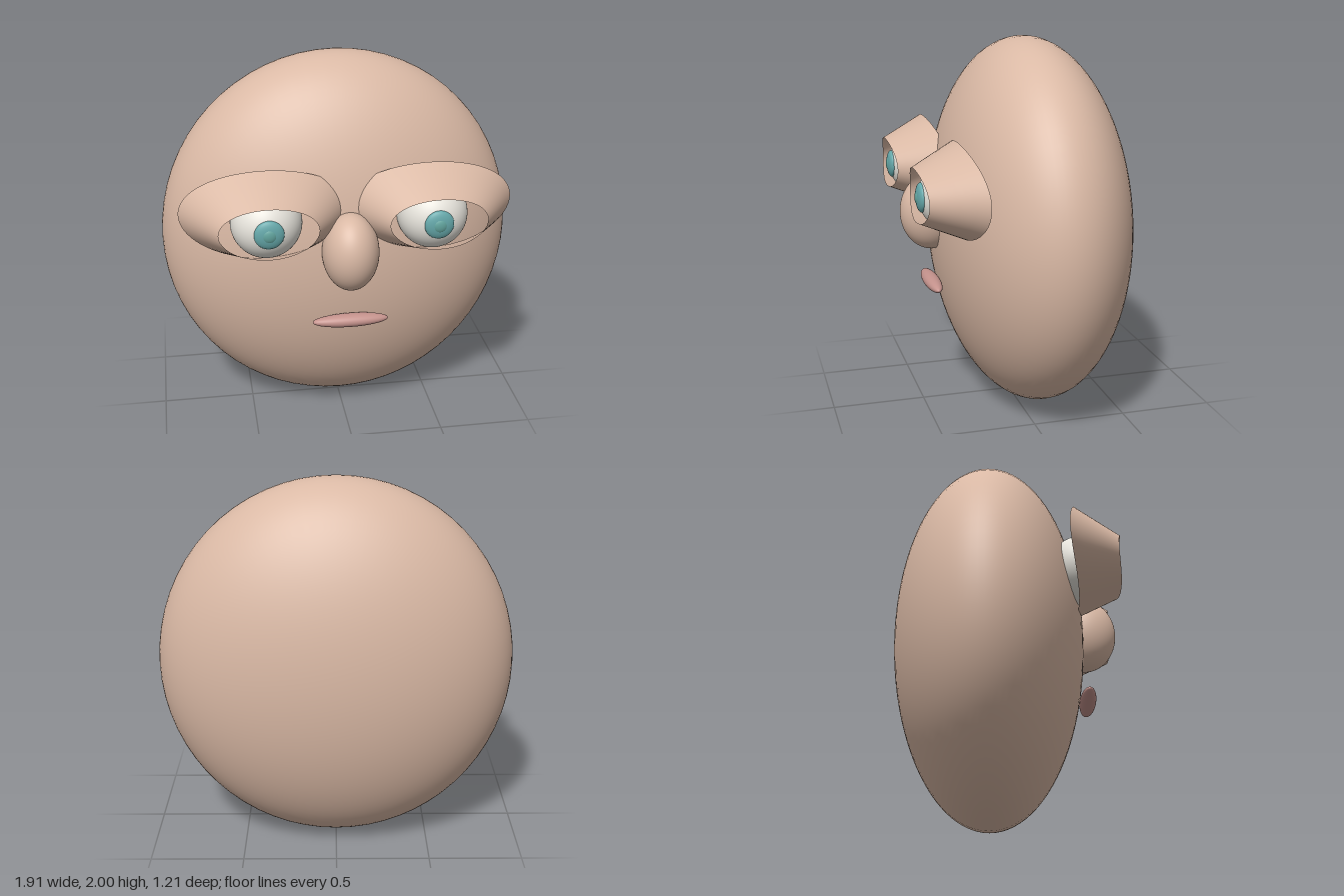
import * as THREE from 'three';

const mat = (name, color, side = THREE.FrontSide) => {
  const m = new THREE.MeshStandardMaterial({ color, side });
  m.name = name;
  return m;
};

// Smooth ellipsoid with its pole facing forward
function ellipsoid(name, material, pos, radii) {
  const g = new THREE.SphereGeometry(1, 64, 48).rotateX(Math.PI / 2);
  g.scale(...radii);
  const mesh = new THREE.Mesh(g, material);
  mesh.name = name;
  mesh.position.set(...pos);
  return mesh;
}

// Open flared band between two bowed ellipses, back rim to front rim
function eyelid(material) {
  const back = { rx: 0.437, ry: 0.237, y: 1.288, z: 0.383, bow: 0.058 };
  const front = { rx: 0.248, ry: 0.133, y: 1.272, z: 0.605, bow: 0.024 };
  const g = new THREE.CylinderGeometry(1, 1, 1, 72, 4, true);
  const p = g.attributes.position;
  const mix = THREE.MathUtils.lerp;
  for (let i = 0; i < p.count; i++) {
    const t = p.getY(i) + 0.5, c = p.getX(i), s = -p.getZ(i);
    p.setXYZ(i,
      c * mix(back.rx, front.rx, t),
      mix(back.y, front.y, t) + s * mix(back.ry, front.ry, t),
      mix(back.z - back.bow * c * c, front.z - front.bow * c * c, t));
  }
  g.computeVertexNormals();
  // Match normals across the seam
  const n = g.attributes.normal;
  for (let r = 0; r <= 4; r++) {
    const a = r * 73, b = a + 72;
    const v = new THREE.Vector3().fromBufferAttribute(n, a)
      .add(new THREE.Vector3().fromBufferAttribute(n, b)).normalize();
    n.setXYZ(a, v.x, v.y, v.z);
    n.setXYZ(b, v.x, v.y, v.z);
  }
  const mesh = new THREE.Mesh(g, material);
  mesh.name = 'eyelid';
  return mesh;
}

export function createModel() {
  const group = new THREE.Group();
  group.name = 'face';
  const skin = mat('skin', 0xdab9a5);
  const lidSkin = mat('eyelid skin', 0xdab9a5, THREE.DoubleSide);
  const white = mat('eye white', 0xece9e1);
  const teal = mat('iris teal', 0x65a8aa);
  const pupilTeal = mat('pupil teal', 0x62a49e);
  const lip = mat('lip pink', 0xc4928c);

  group.add(
    ellipsoid('head', skin, [0, 1, -0.09], [0.955, 1, 0.515]),
    ellipsoid('nose', skin, [0, 1.079, 0.435], [0.147, 0.207, 0.17]),
    ellipsoid('mouth', lip, [0, 0.686, 0.442], [0.2, 0.035, 0.044]),
  );

  // Eyes, mirrored left and right
  for (const [side, label] of [[1, 'left'], [-1, 'right']]) {
    const eye = new THREE.Group();
    eye.name = label + 'Eye';
    eye.position.x = side * 0.426;
    eye.add(
      ellipsoid('eyeball', white, [0, 1.26, 0.405], [0.182, 0.182, 0.182]),
      ellipsoid('iris', teal, [0, 1.26, 0.572], [0.075, 0.075, 0.028]),
      ellipsoid('pupil', pupilTeal, [0, 1.26, 0.587], [0.038, 0.038, 0.018]),
      eyelid(lidSkin),
    );
    group.add(eye);
  }
  return group;
}
